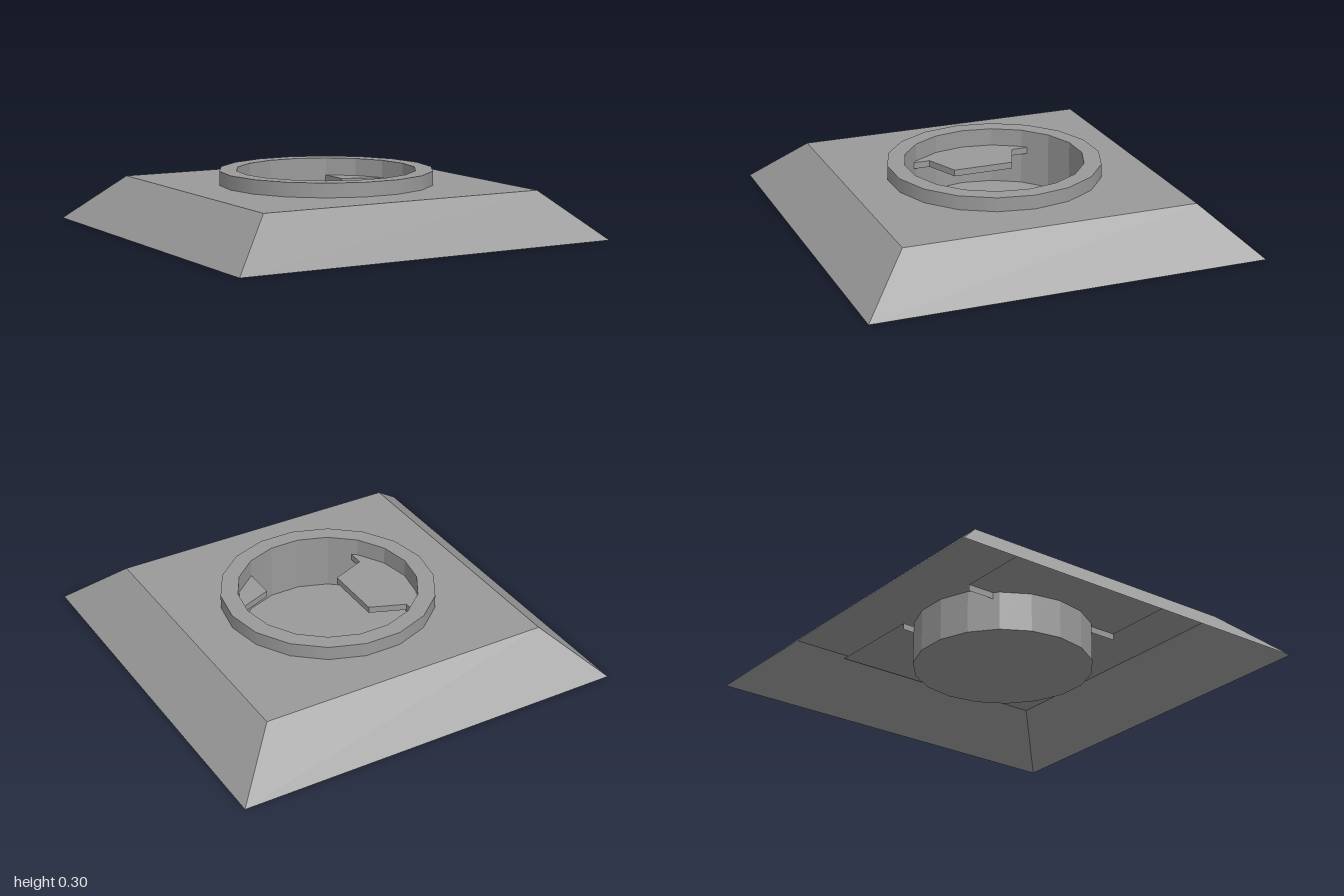
import * as THREE from 'three';

const SIDES = 18;
const WELL_R = 0.447, RING_R = 0.533;
const PLATE_Y = 0.23, RING_Y = 0.3, FLOOR_Y = 0.015;
const DOOR_Y = 0.211, DOOR_LIP_Y = 0.178;
const HALF_Z = 0.988, TOP_SCALE = 0.749;

const flat = new THREE.MeshStandardMaterial({ color: 0x9a9a9a, flatShading: true, side: THREE.DoubleSide });
const smooth = new THREE.MeshStandardMaterial({ color: 0x9a9a9a, side: THREE.DoubleSide });

// regular polygon with a corner on the x axis
function ringPoints(r) {
  return Array.from({ length: SIDES }, (_, i) => {
    const a = (i / SIDES) * Math.PI * 2;
    return new THREE.Vector2(r * Math.cos(a), r * Math.sin(a));
  });
}

// open tube between two heights
function tube(r, y0, y1) {
  return new THREE.CylinderGeometry(r, r, y1 - y0, SIDES, 1, true, Math.PI / 2).translate(0, (y0 + y1) / 2, 0);
}

// flat shape drawn in x and -z, laid face up at height y
function sheet(points, y, hole) {
  const shape = new THREE.Shape(points);
  if (hole) shape.holes.push(new THREE.Path(hole));
  return new THREE.ShapeGeometry(shape).rotateX(-Math.PI / 2).translate(0, y, 0);
}

// upright strip hanging below a line drawn in x and -z
function lip(points, y0, y1) {
  const corners = [];
  for (let i = 0; i < points.length - 1; i++) {
    const [a, b] = [points[i], points[i + 1]];
    const [a0, a1, b0, b1] = [[a, y0], [a, y1], [b, y0], [b, y1]].map(([p, y]) => new THREE.Vector3(p.x, y, -p.y));
    corners.push(a0, b0, b1, a0, b1, a1);
  }
  const geometry = new THREE.BufferGeometry().setFromPoints(corners);
  geometry.computeVertexNormals();
  return geometry;
}

export function createModel() {
  const model = new THREE.Group();
  const add = (name, geometry, material = flat) => {
    const mesh = new THREE.Mesh(geometry, material);
    mesh.name = name;
    model.add(mesh);
  };

  // sloped sides of the base, open underneath
  add('baseSlopes', new THREE.CylinderGeometry(TOP_SCALE * Math.SQRT2, Math.SQRT2, PLATE_Y, 4, 1, true)
    .rotateY(Math.PI / 4).scale(1, 1, HALF_Z).translate(0, PLATE_Y / 2, 0));

  // top plate with the round opening
  const px = TOP_SCALE, pz = TOP_SCALE * HALF_Z;
  const corners = [[-px, -pz], [px, -pz], [px, pz], [-px, pz]].map(([x, z]) => new THREE.Vector2(x, z));
  add('topPlate', sheet(corners, PLATE_Y, ringPoints(WELL_R)));

  // raised rim around the opening
  add('rimSide', tube(RING_R, PLATE_Y, RING_Y), smooth);
  add('rimTop', sheet(ringPoints(RING_R), RING_Y, ringPoints(WELL_R)));

  // round well sunk through the base
  add('wellWall', tube(WELL_R, FLOOR_Y, RING_Y));
  add('wellFloor', sheet(ringPoints(WELL_R), FLOOR_Y));

  // two sliding door halves whose edges interlock: a nose and a matching notch
  const doorZ = 0.45, doorEnd = 0.75;
  const doorEdge = [[0, -doorZ], [0, -0.225], [0.175, -0.155], [0.175, 0.155], [0, 0.225], [0, doorZ]];
  for (const [name, edgeX, endX] of [['noseDoor', -0.318, -doorEnd], ['notchDoor', 0.221, doorEnd]]) {
    const edge = doorEdge.map(([x, z]) => new THREE.Vector2(edgeX + x, z));
    const outline = [...edge, new THREE.Vector2(endX, doorZ), new THREE.Vector2(endX, -doorZ)];
    add(name, sheet(outline, DOOR_Y));
    add(name + 'Lip', lip(edge, DOOR_LIP_Y, DOOR_Y));
  }

  return model;
}
